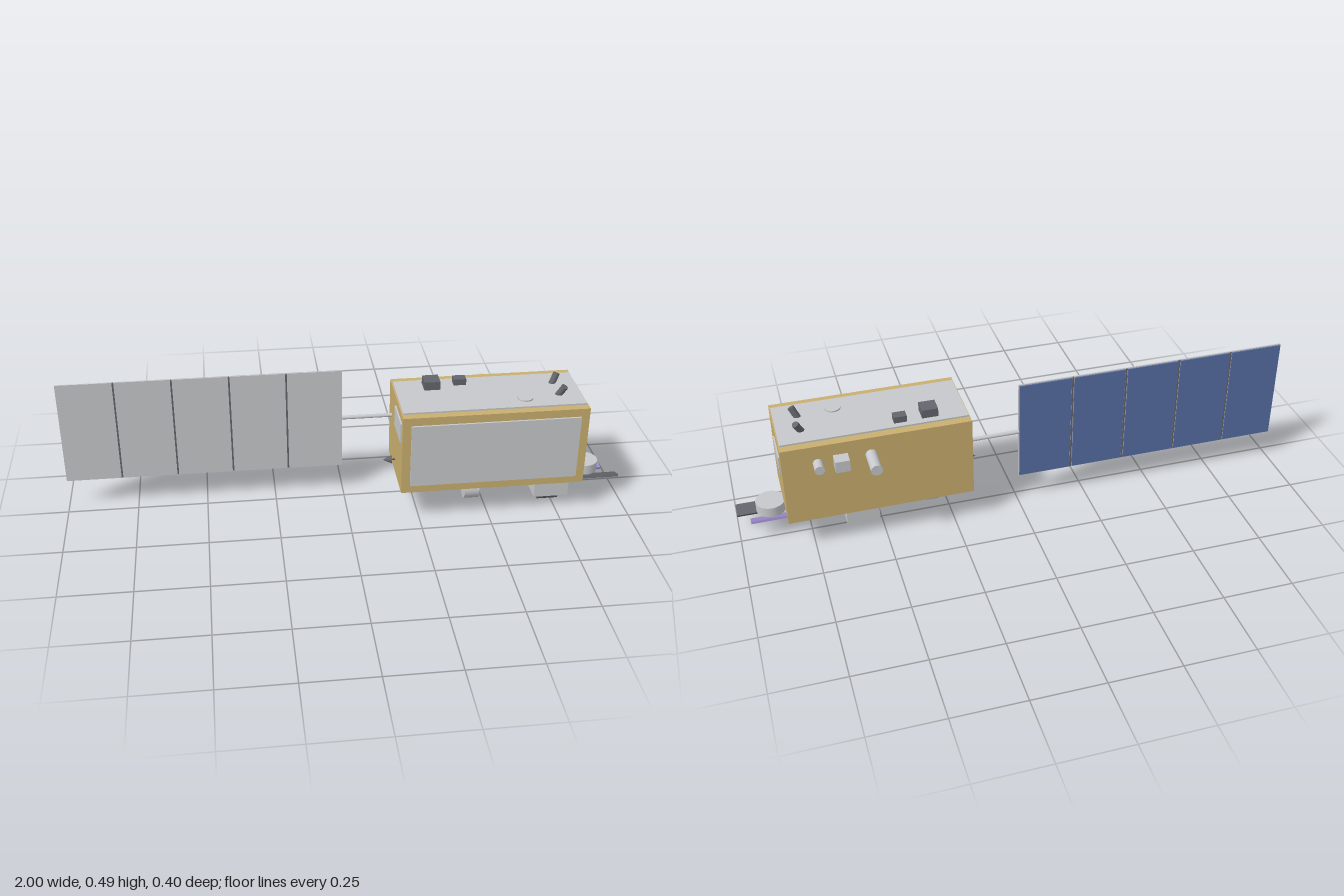
import * as THREE from 'three';

const mat = (name, color) => {
  const m = new THREE.MeshStandardMaterial({ color });
  m.name = name;
  return m;
};

export function createModel() {
  const gold = mat('gold foil', 0xc9ae6e);
  const grey = mat('light grey', 0xc7c8cb);
  const dark = mat('dark grey', 0x64666d);
  const blue = mat('solar blue', 0x586fa6);
  const violet = mat('violet', 0x9b8bcb);

  const root = new THREE.Group();
  root.name = 'satellite';

  const add = (name, geo, material, x, y, z) => {
    const m = new THREE.Mesh(geo, material);
    m.name = name;
    m.position.set(x, y, z);
    root.add(m);
    return m;
  };
  // Box given by its min and max on each axis
  const box = (name, material, [x0, x1], [y0, y1], [z0, z1]) =>
    add(name, new THREE.BoxGeometry(x1 - x0, y1 - y0, z1 - z0), material,
      (x0 + x1) / 2, (y0 + y1) / 2, (z0 + z1) / 2);
  // Cylinder between two points
  const rod = (name, material, a, b, r, r2 = r) => {
    const p = new THREE.Vector3(...a), q = new THREE.Vector3(...b);
    const d = q.clone().sub(p), c = p.clone().add(q).multiplyScalar(0.5);
    const m = add(name, new THREE.CylinderGeometry(r2, r, d.length(), 32), material, c.x, c.y, c.z);
    m.quaternion.setFromUnitVectors(new THREE.Vector3(0, 1, 0), d.normalize());
    return m;
  };

  // Body and its radiator plates
  box('body', gold, [0.18, 0.835], [0.12, 0.418], [-0.102, 0.195]);
  box('topPlate', grey, [0.184, 0.831], [0.417, 0.424], [-0.071, 0.166]);
  box('frontRadiator', grey, [0.21, 0.805], [0.15, 0.388], [0.194, 0.202]);
  box('leftRadiator', grey, [0.834, 0.84], [0.3, 0.373], [-0.065, 0.068]);
  box('rightRadiator', grey, [0.174, 0.181], [0.315, 0.39], [0.045, 0.18]);
  box('bottomPlate', dark, [0.4, 0.49], [0.115, 0.121], [-0.09, -0.015]);

  // Solar wing: five panels, cells on the back
  for (let i = 0; i < 5; i++) {
    const x0 = -1 + i * 0.2;
    box('solarPanel', grey, [x0 + 0.002, x0 + 0.198], [0.108, 0.494], [-0.044, -0.039]);
    box('solarCells', blue, [x0 + 0.005, x0 + 0.195], [0.112, 0.49], [-0.048, -0.044]);
    if (i) box('panelHinge', dark, [x0 - 0.003, x0 + 0.003], [0.11, 0.492], [-0.0455, -0.0385]);
  }
  rod('wingBoom', grey, [-0.002, 0.302, -0.046], [0.182, 0.302, -0.046], 0.007);

  // Equipment on the top
  box('largeTopBox', dark, [0.285, 0.342], [0.42, 0.455], [-0.047, 0.01]);
  box('smallTopBox', dark, [0.395, 0.44], [0.42, 0.447], [-0.05, -0.016]);
  rod('topDisc', grey, [0.625, 0.42, 0.105], [0.625, 0.429, 0.105], 0.028);
  for (const s of [-1, 1]) {
    const z = 0.045 + s * 0.043;
    rod('starTracker', dark, [0.747, 0.418, z], [0.766, 0.457, z + s * 0.011], 0.012);
  }

  // Equipment on the back
  rod('largeBackTube', grey, [0.533, 0.351, -0.1], [0.533, 0.351, -0.2], 0.02);
  box('backBox', grey, [0.612, 0.662], [0.33, 0.373], [-0.148, -0.1]);
  rod('smallBackTube', grey, [0.714, 0.351, -0.1], [0.714, 0.351, -0.148], 0.017);

  // Scanning instruments under the body
  box('largeScanner', grey, [0.675, 0.8], [0.038, 0.121], [0.046, 0.15]);
  rod('largeScannerDrum', dark, [0.7, 0.027, 0.098], [0.773, 0.027, 0.098], 0.026);
  box('smallScanner', grey, [0.516, 0.632], [0.046, 0.121], [-0.072, 0.032]);
  rod('smallScannerDrum', dark, [0.547, 0.038, -0.02], [0.605, 0.038, -0.02], 0.022);

  // Round sounders with axles
  rod('largeSounder', grey, [0.415, 0.088, 0.13], [0.468, 0.088, 0.13], 0.04);
  rod('largeSounderAxle', dark, [0.4, 0.085, 0.13], [0.485, 0.085, 0.13], 0.006);
  rod('smallSounder', grey, [0.299, 0.094, -0.02], [0.341, 0.094, -0.02], 0.032);
  rod('smallSounderAxle', dark, [0.286, 0.086, -0.02], [0.353, 0.086, -0.02], 0.005);

  // Antennas
  for (const x of [0.232, 0.258, 0.286])
    rod('stubAntenna', dark, [x, 0.121, 0.136], [x, 0.086, 0.136], 0.008);
  rod('dishStem', dark, [0.226, 0.121, 0.02], [0.226, 0.07, 0.02], 0.003);
  rod('smallDish', grey, [0.226, 0.063, 0.02], [0.226, 0.071, 0.02], 0.026, 0.002);
  rod('hornAntenna', dark, [0.168, 0.168, 0.042], [0.136, 0.168, 0.042], 0.015, 0.0005);
  rod('hornStem', dark, [0.182, 0.168, 0.042], [0.167, 0.168, 0.042], 0.003);

  // End sensor with two tilted paddles
  rod('endSensor', grey, [0.88, 0.087, 0.047], [0.88, 0.124, 0.047], 0.052);
  const paddle = (name, material, x0, x1, z, width, tilt) => {
    const m = box(name, material, [x0, x1], [0.068, 0.077], [z - width / 2, z + width / 2]);
    m.rotation.x = tilt;
  };
  paddle('darkPaddle', dark, 0.805, 1, 0.085, 0.048, -0.36);
  paddle('violetPaddle', violet, 0.795, 0.957, 0.01, 0.038, 0.34);

  return root;
}
